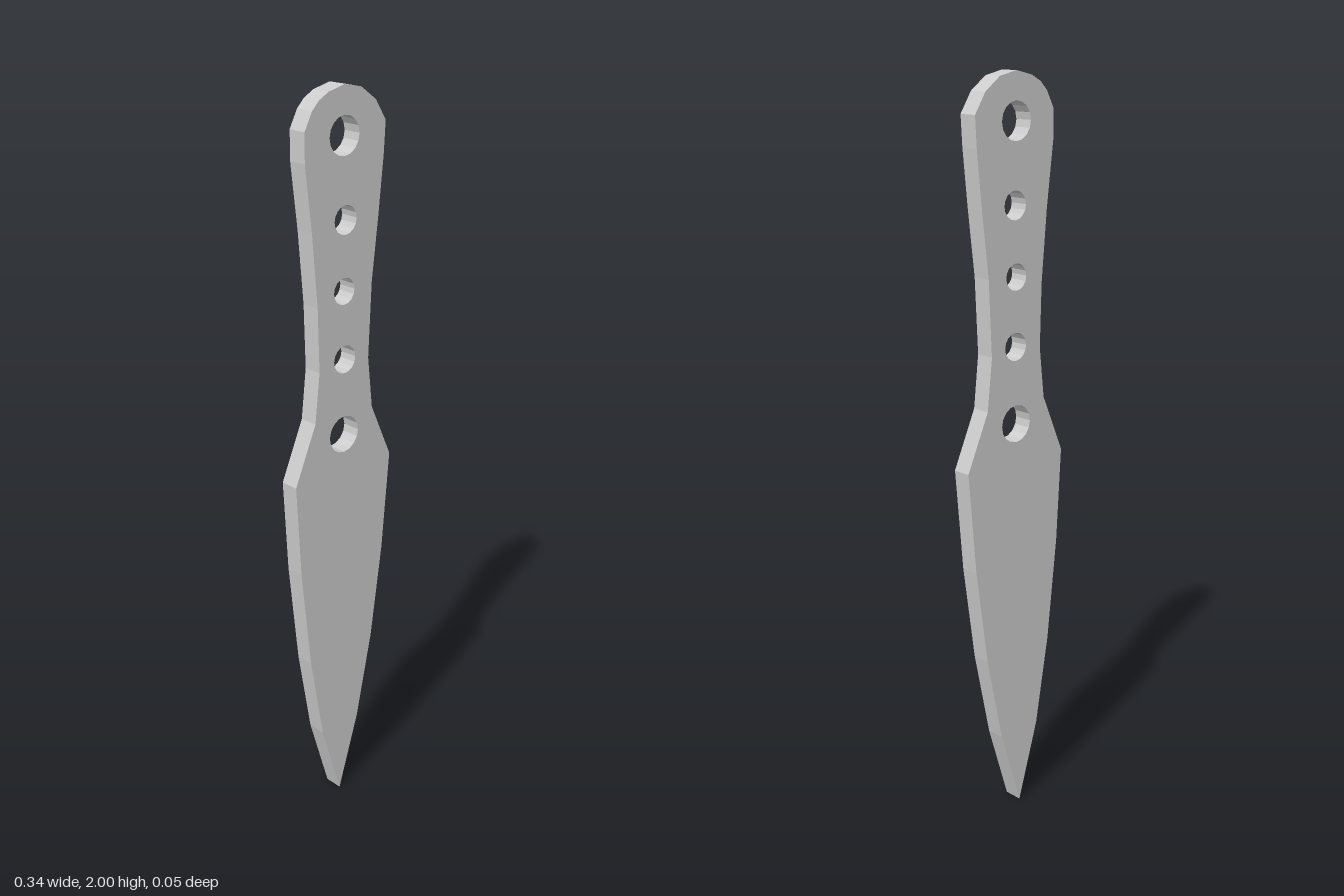
import * as THREE from 'three';

const THICKNESS = 0.052;

// Right edge from tip to pommel, then left edge back down
const OUTLINE = [
  [-0.015, 0], [0.053, 0.22], [0.105, 0.465], [0.143, 0.73], [0.168, 1.007],
  [0.1, 1.16], [0.085, 1.3], [0.095, 1.5], [0.116, 1.67], [0.132, 1.82], [0.137, 1.9],
  [0.103, 1.953], [0.055, 1.988], [0, 2], [-0.052, 1.988], [-0.082, 1.972], [-0.104, 1.95],
  [-0.128, 1.905], [-0.128, 1.83], [-0.107, 1.66], [-0.09, 1.47], [-0.085, 1.3],
  [-0.1, 1.165], [-0.168, 1.007], [-0.153, 0.75], [-0.122, 0.465], [-0.08, 0.22],
];

// Grip holes: x, y, radius
const HOLES = [
  [0, 1.88, 0.049], [0.004, 1.675, 0.037], [0, 1.495, 0.035],
  [0.002, 1.315, 0.037], [0, 1.11, 0.05],
];

const toPoints = (list) => list.map(([x, y]) => new THREE.Vector2(x, y));

function holePath([cx, cy, r], sides = 16) {
  const ring = [];
  for (let i = 0; i < sides; i++) {
    const a = (-2 * Math.PI * i) / sides;
    ring.push([cx + r * Math.cos(a), cy + r * Math.sin(a)]);
  }
  return new THREE.Path(toPoints(ring));
}

export function createModel() {
  const group = new THREE.Group();
  group.name = 'throwingKnife';

  // One flat plate forms both blade and drilled grip
  const shape = new THREE.Shape(toPoints(OUTLINE));
  for (const hole of HOLES) shape.holes.push(holePath(hole));

  const geometry = new THREE.ExtrudeGeometry(shape, { depth: THICKNESS, bevelEnabled: false });
  geometry.translate(0, 0, -THICKNESS / 2);

  const steel = new THREE.MeshStandardMaterial({ color: 0xcccccc, flatShading: true });
  const plate = new THREE.Mesh(geometry, steel);
  plate.name = 'bladeAndGrip';
  group.add(plate);
  return group;
}
